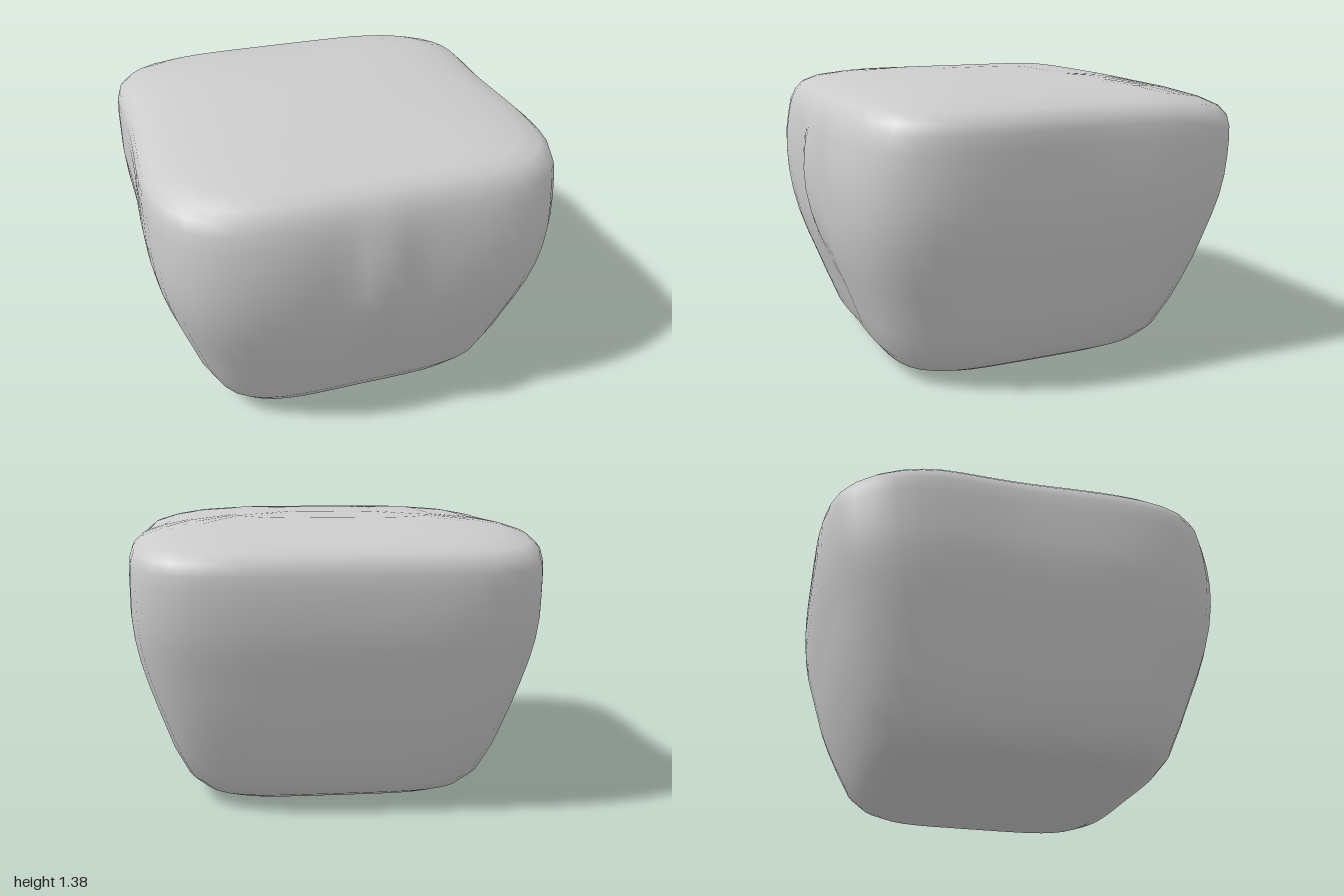
import * as THREE from 'three';

// Cross-sections from bottom to top: height, half width, front z, back z
const LEVELS = [
  [0.0, 0.25, 0.24, -0.22],
  [0.005, 0.5, 0.48, -0.47],
  [0.018, 0.6, 0.62, -0.56],
  [0.055, 0.67, 0.71, -0.64],
  [0.125, 0.74, 0.765, -0.71],
  [0.27, 0.81, 0.82, -0.78],
  [0.38, 0.845, 0.86, -0.83],
  [0.5, 0.885, 0.905, -0.875],
  [0.61, 0.92, 0.94, -0.905],
  [0.72, 0.95, 0.965, -0.935],
  [0.83, 0.97, 0.98, -0.965],
  [0.94, 0.98, 0.985, -0.985],
  [1.05, 0.98, 0.98, -0.997],
  [1.14, 0.98, 0.965, -1.0],
  [1.21, 0.975, 0.95, -1.0],
  [1.26, 0.96, 0.925, -0.99],
  [1.3, 0.915, 0.895, -0.96],
  [1.33, 0.82, 0.84, -0.89],
  [1.352, 0.7, 0.72, -0.74],
  [1.37, 0.5, 0.52, -0.52],
  [1.378, 0.25, 0.26, -0.26],
];
const SIDES = 72;
const bell = (v, width) => Math.exp(-((v / width) ** 2));

// Gentle unevenness of the block: sloping back rim, waisted sides, front ridge
function warp(x, y, z) {
  const high = Math.min(1, y / 1.2);
  const back = THREE.MathUtils.smoothstep(-z, 0.4, 1.0);
  const front = THREE.MathUtils.smoothstep(z, 0.6, 0.8);
  const ridge = 0.055 * bell(x, 0.1) - 0.035 * bell(x, 0.28);
  const nx = x * (1 - 0.028 * high * bell(z + 0.15, 0.4));
  const nz = z + front * (ridge * bell(y - 0.9, 0.25) - 0.012 * bell(x, 0.12) * bell(y - 0.35, 0.25));
  return [nx, y - 0.065 * back * high ** 3, nz];
}

function blockGeometry() {
  const pos = [0, 0, 0];
  const index = [];
  // Rounded-square rings
  for (const [y, w, zf, zb] of LEVELS) {
    const n = 4.8;
    for (let i = 0; i < SIDES; i++) {
      const a = (i / SIDES) * Math.PI * 2;
      const c = Math.cos(a), s = Math.sin(a);
      const r = 1 / (Math.abs(c) ** n + Math.abs(s) ** n) ** (1 / n);
      pos.push(...warp(r * c * w, y, (zf + zb) / 2 + (r * s * (zf - zb)) / 2));
    }
  }
  const top = pos.length / 3;
  pos.push(0, 1.38, 0);
  // Walls between rings, closed by a fan at each end
  const at = (ring, i) => 1 + ring * SIDES + (i % SIDES);
  const last = LEVELS.length - 1;
  for (let i = 0; i < SIDES; i++) {
    index.push(0, at(0, i), at(0, i + 1));
    for (let k = 0; k < last; k++) {
      index.push(at(k, i), at(k + 1, i), at(k + 1, i + 1));
      index.push(at(k, i), at(k + 1, i + 1), at(k, i + 1));
    }
    index.push(top, at(last, i + 1), at(last, i));
  }
  const g = new THREE.BufferGeometry();
  g.setAttribute('position', new THREE.Float32BufferAttribute(pos, 3));
  g.setIndex(index);
  g.computeVertexNormals();
  return g;
}

export function createModel() {
  const group = new THREE.Group();
  const block = new THREE.Mesh(blockGeometry(), new THREE.MeshStandardMaterial({ color: 0xcccccc }));
  block.name = 'roundedBlock';
  group.add(block);
  return group;
}
